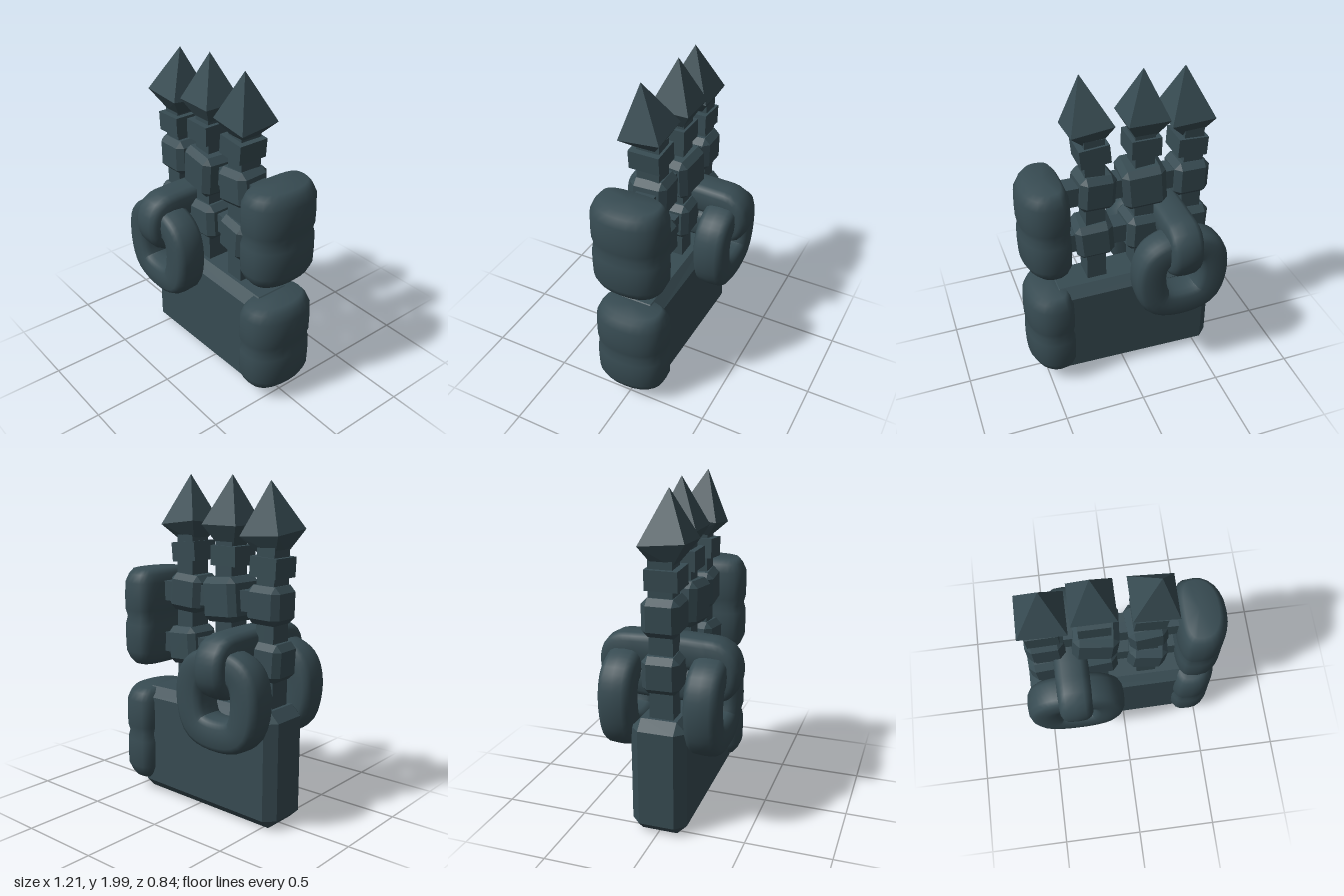
import * as THREE from 'three';
import { ConvexGeometry } from 'three/addons/geometries/ConvexGeometry.js';

const iron = new THREE.MeshStandardMaterial({ color: 0x374b52 });
iron.name = 'dark iron';

// Box with every edge chamfered by c
function chamferBox(w, h, d, c) {
  const pts = [], s = [-1, 1], half = [w / 2, h / 2, d / 2];
  for (const x of s) for (const y of s) for (const z of s)
    for (let full = 0; full < 3; full++)
      pts.push(new THREE.Vector3(...[x, y, z].map((k, i) => k * (half[i] - (i === full ? 0 : c)))));
  return new ConvexGeometry(pts);
}

const power = (v, e) => Math.sign(v) * Math.abs(v) ** e;

// Smooth surface over a grid: point(i, j), the j direction wraps, i wraps if closed
function gridSurface(rows, cols, closed, point) {
  const pos = [], idx = [];
  for (let i = 0; i < rows; i++) for (let j = 0; j < cols; j++) pos.push(...point(i, j));
  const last = closed ? rows : rows - 1;
  for (let i = 0; i < last; i++) for (let j = 0; j < cols; j++) {
    const n = (i + 1) % rows, k = (j + 1) % cols;
    const a = i * cols + j, b = i * cols + k, c = n * cols + k, d = n * cols + j;
    idx.push(a, d, b, b, d, c);
  }
  const g = new THREE.BufferGeometry();
  g.setAttribute('position', new THREE.Float32BufferAttribute(pos, 3));
  g.setIndex(idx);
  g.computeVertexNormals();
  return g;
}

// Chain link: rounded-square section swept round a closed planar path (counter-clockwise)
function linkGeometry(path, halfWidth, halfDepth) {
  const curve = new THREE.CatmullRomCurve3(path.map(([x, y]) => new THREE.Vector3(x, y, 0)), true);
  const rows = 40, cols = 16;
  return gridSurface(rows, cols, true, (i, j) => {
    const p = curve.getPoint(i / rows), t = curve.getTangent(i / rows);
    const a = j / cols * Math.PI * 2;
    const u = power(Math.cos(a), 0.62) * halfWidth;
    return [p.x + t.y * u, p.y - t.x * u, power(Math.sin(a), 0.62) * halfDepth];
  });
}

// Hinge knuckle: two pillows stacked, joined at a shallow waist
function hingeGeometry() {
  const profile = [[0, 0], [0, 0.66], [0.03, 0.83], [0.08, 0.98], [0.18, 1], [0.25, 0.99], [0.295, 0.91],
    [0.34, 0.99], [0.41, 1], [0.51, 0.98], [0.56, 0.83], [0.59, 0.66], [0.59, 0]];
  return gridSurface(profile.length, 24, false, (i, j) => {
    const [y, s] = profile[i], a = j / 24 * Math.PI * 2;
    const c = Math.cos(a), outer = c > 0;
    const x = power(c, outer ? 0.9 : 0.55) * (outer ? 0.165 : 0.125);
    const z = power(Math.sin(a), outer ? 0.9 : 0.65) * 0.226;
    return [x * s, y, s === 0 ? 0 : z * (0.35 + 0.65 * s)];
  });
}

// Four-sided spearhead: small bottom square, wide middle square, point.
// Centres are [x, y, z, slantX, slantZ]; the slants tip the square over
function spearGeometry(base, middle, tip, radius) {
  const pts = [new THREE.Vector3(...tip)];
  for (const [[cx, cy, cz, sx = 0, sz = 0], r] of [[base, 0.055], [middle, radius]])
    for (const x of [-r, r]) for (const z of [-r, r])
      pts.push(new THREE.Vector3(cx + x, cy - x * sx - z * sz, cz + z));
  return new ConvexGeometry(pts);
}

export function createModel() {
  const model = new THREE.Group();
  model.name = 'ironGate';
  const add = (name, geometry, x = 0, y = 0, z = 0, tilt = 0, turn = 0) => {
    const m = new THREE.Mesh(geometry, iron);
    m.name = name;
    m.position.set(x, y, z);
    m.rotation.set(0, turn, tilt);
    model.add(m);
  };

  // Lower plate, slightly narrower toward the hinge
  const plate = chamferBox(1.05, 0.7, 0.33, 0.06);
  const p = plate.attributes.position;
  for (let i = 0; i < p.count; i++) {
    const x = p.getX(i);
    p.setZ(i, p.getZ(i) * (1 - 0.08 * (x + 0.4)));
    p.setY(i, p.getY(i) + (p.getY(i) > 0 ? -0.015 : 0.015) * (x + 0.5));
  }
  plate.computeVertexNormals();
  add('lowerPlate', plate, -0.065, 0.355, 0);

  // Upright bars and cross bars
  for (const x of [-0.45, -0.15, 0.15])
    add('uprightBar', new THREE.BoxGeometry(0.12, 1.02, 0.14), x, 1.14, 0.01);
  for (const y of [0.98, 1.3])
    add('crossBar', new THREE.BoxGeometry(0.86, 0.12, 0.12), -0.03, y, 0);

  // Chamfered blocks at the crossings: x, y, size, tilt
  for (const [x, y, s, tilt] of [
    [-0.44, 1.29, 0.22, 0.02], [-0.15, 1.295, 0.26, -0.08], [0.142, 1.305, 0.225, 0.07],
    [-0.45, 0.97, 0.22, 0.05], [-0.15, 0.97, 0.23, 0.05], [0.155, 0.98, 0.23, -0.08]])
    add('crossingBlock', chamferBox(s, s, s, 0.036), x, y, 0.01, tilt, tilt);

  // Collars under the spearheads
  for (const [x, y, tilt] of [[-0.44, 1.5, 0.05], [-0.155, 1.545, 0], [0.15, 1.55, -0.09]])
    add('collar', new THREE.BoxGeometry(0.18, 0.115, 0.19), x, y, 0.02, tilt);

  // Spearheads
  add('spearhead', spearGeometry([-0.44, 1.57, 0.02], [-0.427, 1.685, 0.033, 0.05, -0.1], [-0.412, 1.97, 0.03], 0.132));
  add('spearhead', spearGeometry([-0.155, 1.6, 0.01], [-0.155, 1.72, 0.01], [-0.157, 2, 0.01], 0.124));
  add('spearhead', spearGeometry([0.155, 1.615, 0.02], [0.17, 1.71, 0.02, 0.12, 0.1], [0.197, 2, 0.05], 0.126));

  // Hinges
  const hinge = hingeGeometry();
  add('upperHinge', hinge, 0.44, 0.84);
  add('lowerHinge', hinge, 0.44, 0.095);

  // Hanging rings on both faces
  const ring = linkGeometry([[0.2, 0], [0.17, 0.14], [0.09, 0.19], [-0.09, 0.19], [-0.17, 0.14], [-0.2, 0],
    [-0.15, -0.165], [0, -0.205], [0.15, -0.165]], 0.098, 0.103);
  for (const side of [-1, 1]) add('hangingRing', ring, -0.31, 0.77, side * 0.252);

  // Link running through the bars and holding both rings
  const link = linkGeometry([[0.32, 0], [0.295, 0.075], [0.2, 0.09], [-0.2, 0.09], [-0.295, 0.075], [-0.32, 0],
    [-0.295, -0.075], [-0.2, -0.09], [0.2, -0.09], [0.295, -0.075]], 0.1, 0.102);
  add('throughLink', link, -0.31, 0.96, 0, 0, Math.PI / 2);

  return model;
}
